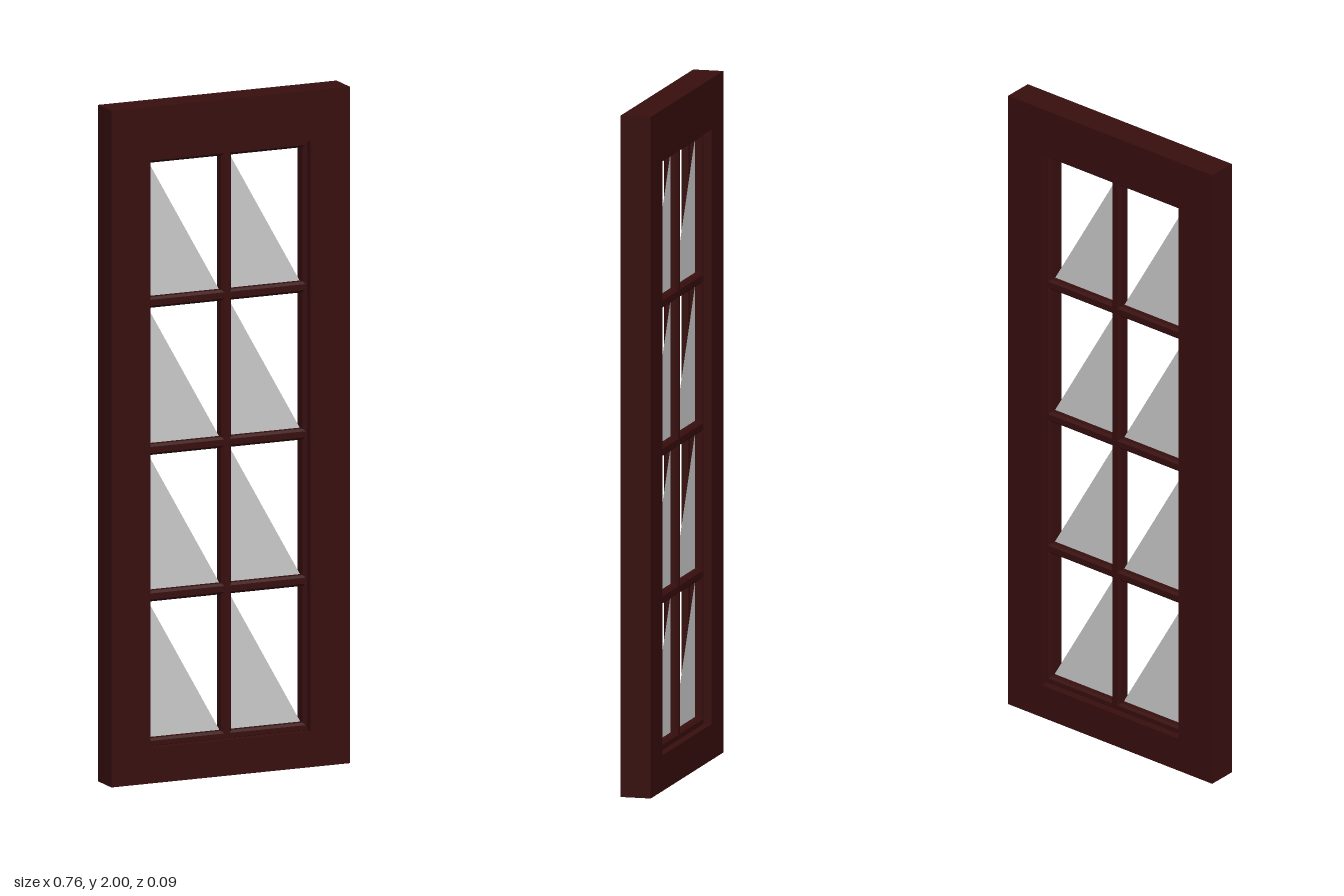
import * as THREE from 'three';

export function createModel() {
  const door = new THREE.Group();
  door.name = 'glazedDoor';
  const wood = new THREE.MeshStandardMaterial({ color: 0x380e0e, flatShading: true });
  wood.name = 'dark red wood';
  const glass = new THREE.MeshStandardMaterial({ color: 0xcccccc, side: THREE.DoubleSide });
  glass.name = 'pale grey glass';

  const add = (name, geometry, material, x, y, z) => {
    const mesh = new THREE.Mesh(geometry, material);
    mesh.name = name;
    mesh.position.set(x, y, z);
    door.add(mesh);
    return mesh;
  };

  const W = 0.38, H = 2, zMid = 0.002, depth = 0.09;
  const openX = 0.255, openBottom = 0.105, openTop = 1.85;

  // Outer frame: one solid slab with a rectangular opening
  const outline = new THREE.Shape([[-W, 0], [W, 0], [W, H], [-W, H]].map(p => new THREE.Vector2(...p)));
  outline.holes.push(new THREE.Path([
    [-openX, openBottom], [-openX, openTop], [openX, openTop], [openX, openBottom],
  ].map(p => new THREE.Vector2(...p))));
  const slab = new THREE.ExtrudeGeometry(outline, { depth, bevelEnabled: false });
  add('frame', slab, wood, 0, 0, zMid - depth / 2);

  // Glazing bar with chamfered edges, centred along its length on local y
  const bar = (name, length, x, y, horizontal, half = 0.016) => {
    const d = 0.022, c = 0.007;
    const section = new THREE.Shape([
      [-half, -d + c], [-half + c, -d], [half - c, -d], [half, -d + c],
      [half, d - c], [half - c, d], [-half + c, d], [-half, d - c],
    ].map(p => new THREE.Vector2(...p)));
    const g = new THREE.ExtrudeGeometry(section, { depth: length, bevelEnabled: false });
    g.translate(0, 0, -length / 2).rotateX(Math.PI / 2);
    if (horizontal) g.rotateZ(Math.PI / 2);
    add(name, g, wood, x, y, zMid);
  };

  // Moulding around the opening
  const midY = (openBottom + openTop) / 2, openH = openTop - openBottom;
  for (const s of [-1, 1]) {
    bar('sideMoulding', openH, s * openX, midY, false, 0.012);
    bar('railMoulding', openX * 2, 0, s < 0 ? openBottom + 0.008 : openTop - 0.008, true, 0.014);
  }

  // Centre bar and three cross bars
  bar('centreBar', openH, 0, midY, false);
  for (const y of [0.547, 0.98, 1.415]) bar('crossBar', openX * 2, 0, y, true);

  // Half panes: a triangle in the lower corner of each of the eight lights
  const pane = new THREE.ShapeGeometry(new THREE.Shape([
    new THREE.Vector2(0, 0), new THREE.Vector2(0.232, 0), new THREE.Vector2(0, 0.41),
  ]));
  for (const x of [-0.245, 0.013]) {
    for (const y of [0.124, 0.558, 0.99, 1.424]) add('pane', pane, glass, x, y, zMid);
  }
  return door;
}
